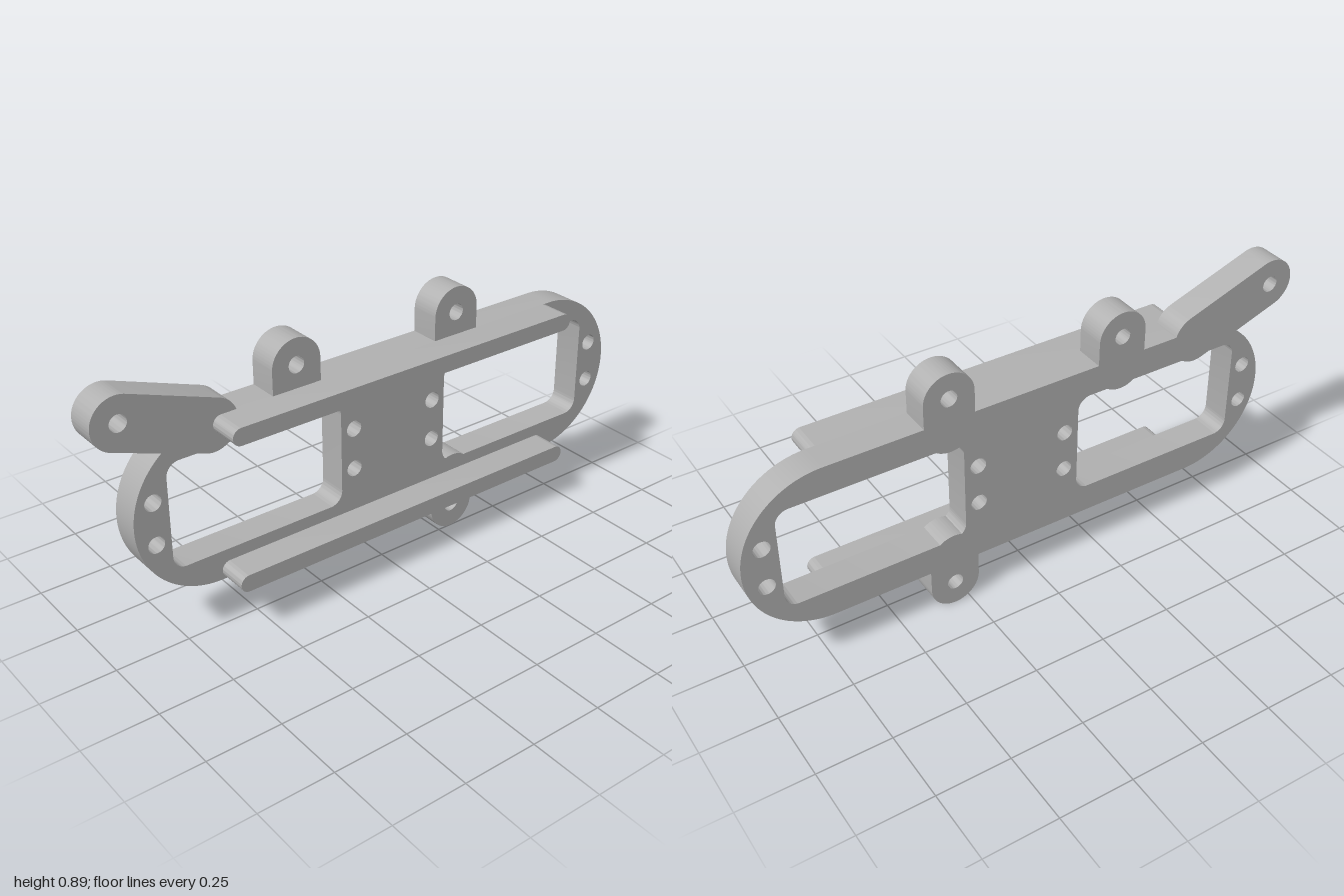
import * as THREE from 'three';
import { toCreasedNormals } from 'three/addons/utils/BufferGeometryUtils.js';

const DEPTH = 0.103;
const HOLE = 0.028;

// Capsule outline around the segment from (x1, y1) to (x2, y2)
function capsule(x1, y1, x2, y2, r) {
  const a = Math.atan2(y2 - y1, x2 - x1);
  const shape = new THREE.Shape();
  shape.absarc(x1, y1, r, a + Math.PI / 2, a + Math.PI * 1.5, false);
  shape.absarc(x2, y2, r, a - Math.PI / 2, a + Math.PI / 2, false);
  shape.closePath();
  return shape;
}

function addHole(shape, x, y) {
  shape.holes.push(new THREE.Path().absarc(x, y, HOLE, 0, Math.PI * 2, true));
}

// Rectangular opening with rounded corners
function addWindow(shape, x0, y0, x1, y1, r) {
  const p = new THREE.Path();
  p.absarc(x0 + r, y0 + r, r, Math.PI, Math.PI * 1.5, false);
  p.absarc(x1 - r, y0 + r, r, -Math.PI / 2, 0, false);
  p.absarc(x1 - r, y1 - r, r, 0, Math.PI / 2, false);
  p.absarc(x0 + r, y1 - r, r, Math.PI / 2, Math.PI, false);
  p.closePath();
  shape.holes.push(p);
}

export function createModel() {
  const group = new THREE.Group();
  const grey = new THREE.MeshStandardMaterial({ color: 0xb0b0b0 });
  grey.name = 'grey';

  function extrude(name, shape, z0, depth) {
    const geo = new THREE.ExtrudeGeometry(shape, { depth, bevelEnabled: false, curveSegments: 28 });
    geo.translate(0, 0, z0);
    const mesh = new THREE.Mesh(toCreasedNormals(geo, 0.6), grey);
    mesh.name = name;
    group.add(mesh);
  }

  // Main plate with two windows and four pairs of screw holes
  const plate = capsule(-0.617, 0.445, 0.717, 0.445, 0.281);
  addWindow(plate, -0.78, 0.265, -0.16, 0.627, 0.045);
  addWindow(plate, 0.257, 0.265, 0.877, 0.627, 0.045);
  for (const x of [-0.83, -0.11, 0.208, 0.926]) {
    for (const y of [0.375, 0.518]) addHole(plate, x, y);
  }
  extrude('mainPlate', plate, -DEPTH, DEPTH);

  // Mounting ears: hole centre first, then the rounded end sunk in the plate
  const ears = [
    ['upperRightEar', -0.32, 0.804, -0.32, 0.698],
    ['upperLeftEar', 0.302, 0.804, 0.302, 0.698],
    ['lowerEar', 0.302, 0.088, 0.302, 0.194],
    ['cornerArm', -0.913, 0.804, -0.617, 0.698],
  ];
  for (const [name, x, y, x2, y2] of ears) {
    const ear = capsule(x, y, x2, y2, 0.087);
    addHole(ear, x, y);
    extrude(name, ear, -DEPTH, DEPTH);
  }

  // Raised rails along the front
  for (const [name, y] of [['upperRail', 0.697], ['lowerRail', 0.194]]) {
    extrude(name, capsule(-0.587, y, 0.687, y, 0.029), -0.01, 0.115);
  }
  return group;
}
